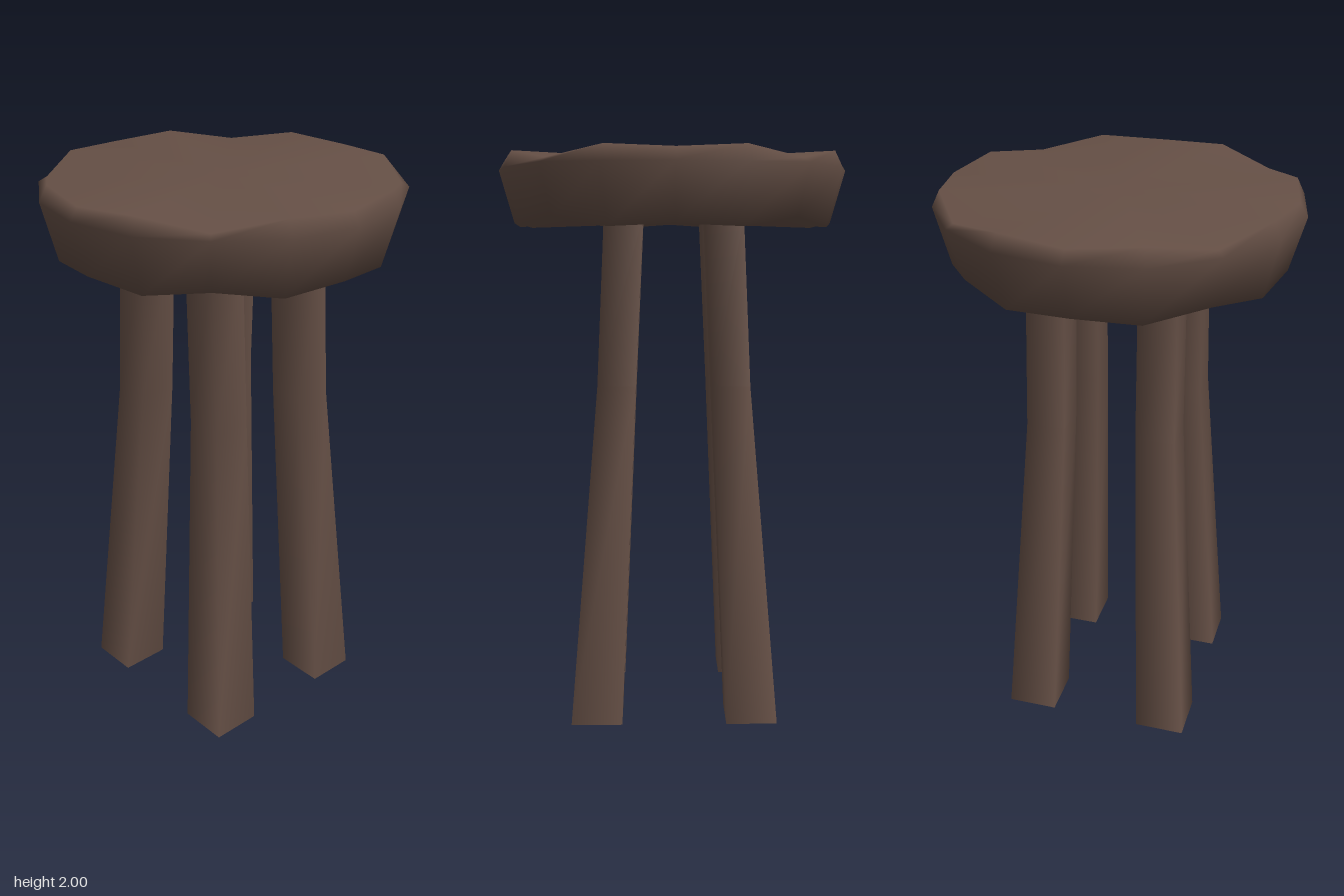
import * as THREE from 'three';

const wood = new THREE.MeshStandardMaterial({ color: 0x665046, side: THREE.DoubleSide });
wood.name = 'dark brown wood';

// Smooth skin over stacked rings of points; optional end points close it with fans.
function loft(rings, bottom, top) {
  const n = rings[0].length;
  const points = rings.flat();
  const index = [];
  for (let r = 0; r < rings.length - 1; r++) {
    for (let i = 0; i < n; i++) {
      const a = r * n + i, b = r * n + (i + 1) % n;
      index.push(a, a + n, b, b, a + n, b + n);
    }
  }
  const last = (rings.length - 1) * n;
  if (bottom) {
    const c = points.push(bottom) - 1;
    for (let i = 0; i < n; i++) index.push(c, i, (i + 1) % n);
  }
  if (top) {
    const c = points.push(top) - 1;
    for (let i = 0; i < n; i++) index.push(c, last + (i + 1) % n, last + i);
  }
  const g = new THREE.BufferGeometry();
  g.setAttribute('position', new THREE.Float32BufferAttribute(points.flat(), 3));
  g.setIndex(index);
  g.computeVertexNormals();
  return g;
}

// Sixteen-sided seat; heights repeat as axis, between, diagonal, between.
function seatGeometry() {
  const profile = [
    { r: 0.568, y: [1.76, 1.745, 1.775, 1.745] },
    { r: 0.62, y: [1.945, 1.945, 1.95, 1.945] },
    { r: 0.593, y: [1.988, 2, 1.965, 2] },
  ];
  const rings = profile.map(({ r, y }) => Array.from({ length: 16 }, (_, i) => {
    const a = -i * Math.PI / 8;
    return [r * Math.cos(a), y[i % 4], r * Math.sin(a)];
  }));
  // rings run counter-clockwise seen from above
  rings.forEach((ring) => ring.reverse());
  return loft(rings, [0, 1.76, 0], [0, 1.985, 0]);
}

// Square, open-ended leg with a slight bend, splayed outwards at the foot.
function legGeometry(sx, sz) {
  const sections = [
    [0, 0.185, 0.365, 0.165, 0.345],
    [1.2, 0.132, 0.265, 0.127, 0.264],
    [1.78, 0.105, 0.238, 0.125, 0.256],
  ];
  const rings = sections.map(([y, x0, x1, z0, z1]) => {
    const ring = [[x0, z0], [x1, z0], [x1, z1], [x0, z1]].map(([x, z]) => [sx * x, y, sz * z]);
    return sx * sz < 0 ? ring.reverse() : ring;
  });
  return loft(rings);
}

export function createModel() {
  const stool = new THREE.Group();
  stool.name = 'stool';

  const seat = new THREE.Mesh(seatGeometry(), wood);
  seat.name = 'seat';
  stool.add(seat);

  for (const sz of [1, -1]) {
    for (const sx of [1, -1]) {
      const leg = new THREE.Mesh(legGeometry(sx, sz), wood);
      leg.name = (sz > 0 ? 'front' : 'back') + (sx > 0 ? 'Left' : 'Right') + 'Leg';
      stool.add(leg);
    }
  }
  return stool;
}
